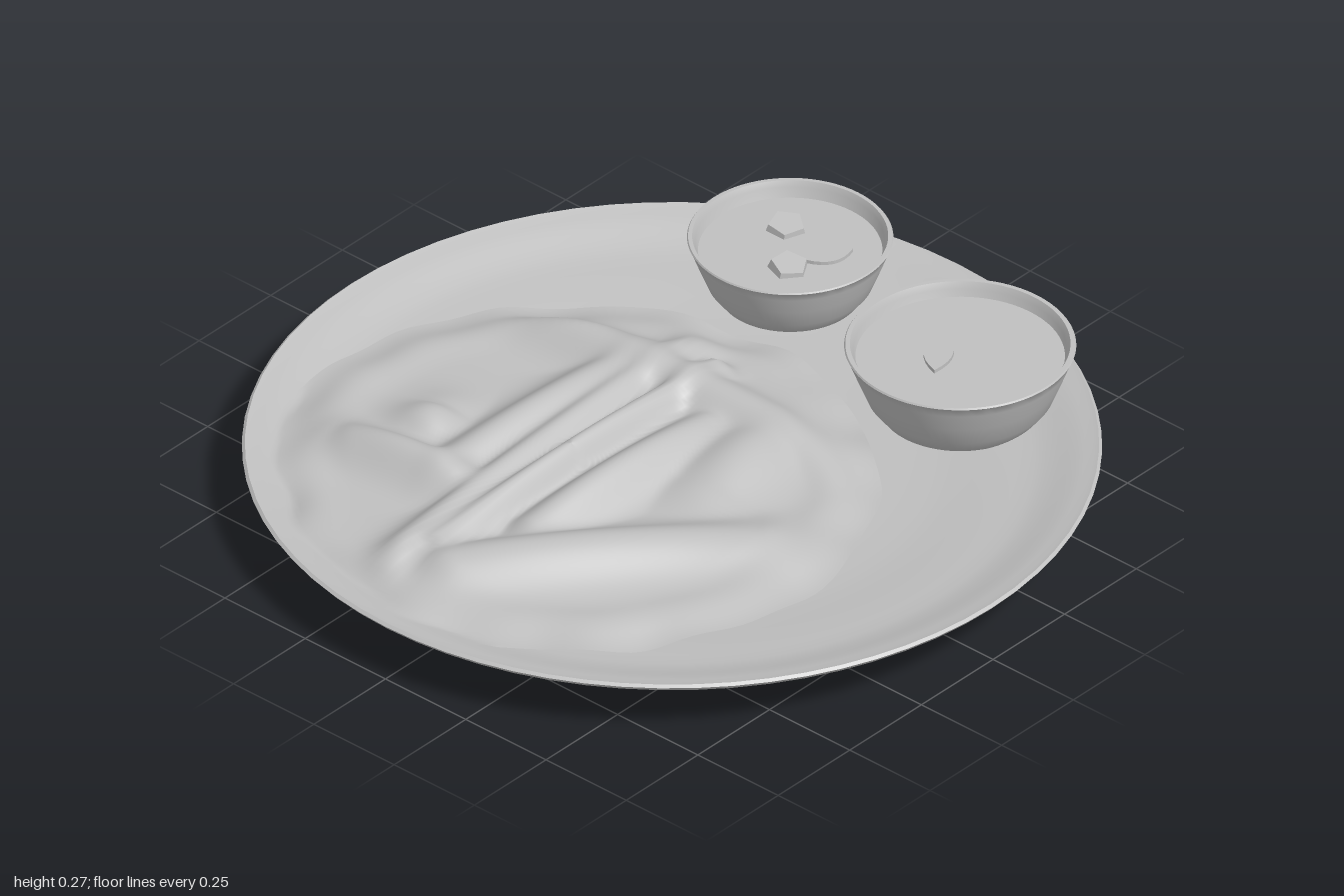
import * as THREE from 'three';
import { toCreasedNormals, mergeVertices } from 'three/addons/utils/BufferGeometryUtils.js';

const clay = new THREE.MeshStandardMaterial({ color: 0xbfbfbf, side: THREE.DoubleSide });
clay.name = 'warm grey clay';

function lathe(points, crease = 0.6) {
  const g = new THREE.LatheGeometry(points.map(([r, y]) => new THREE.Vector2(r, y)), 72);
  return toCreasedNormals(g, crease);
}

function add(parent, geometry, name) {
  const m = new THREE.Mesh(geometry, clay);
  m.name = name;
  parent.add(m);
  return m;
}

const smooth = THREE.MathUtils.smoothstep;

// Inside height of the plate at a distance from its middle
const plateFloor = (r) => 0.075 + 0.03 * smooth(r, 0.55, 0.85) + 0.045 * smooth(r, 0.82, 1.0);

// Folds of the bread: x1, z1, x2, z2, width, height at each end
const folds = [
  [-0.84, -0.15, 0.36, -0.22, 0.06, 0.205, 0.2],
  [-0.70, -0.10, 0.26, -0.10, 0.05, 0.215, 0.21],
  [-0.74, -0.02, -0.18, 0.44, 0.10, 0.215, 0.19],
  [0.15, -0.66, 0.20, 0.36, 0.085, 0.205, 0.19],
  [-0.51, -0.60, -0.48, -0.25, 0.08, 0.185, 0.225],
  [-0.48, -0.29, 0.20, -0.27, 0.08, 0.215, 0.2],
  [-0.50, 0.02, 0.08, 0.03, 0.07, 0.21, 0.2],
  [-0.10, 0.20, 0.20, 0.16, 0.11, 0.185, 0.185],
  [-0.38, -0.46, -0.26, -0.48, 0.09, 0.175, 0.175],
];

function foldHeight(x, z, base) {
  let sum = 0;
  for (const [x1, z1, x2, z2, w, h1, h2] of folds) {
    const dx = x2 - x1, dz = z2 - z1;
    const t = THREE.MathUtils.clamp(((x - x1) * dx + (z - z1) * dz) / (dx * dx + dz * dz), 0, 1);
    const d = Math.hypot(x - x1 - t * dx, z - z1 - t * dz);
    const top = h1 + (h2 - h1) * t + 0.1 * t * (1 - t); // crest arches between its ends
    sum += ((top - base) * Math.exp(-((d / w) ** 2))) ** 4;
  }
  return Math.min(base + sum ** 0.25, 0.245); // soft maximum of all folds
}

// Folded flatbread: a disc with a wavy brim and creased dome
function breadGeometry() {
  const g = new THREE.RingGeometry(0.001, 1, 144, 64).rotateX(-Math.PI / 2);
  g.deleteAttribute('uv');
  g.deleteAttribute('normal');
  const p = g.attributes.position;
  for (let i = 0; i < p.count; i++) {
    const t = Math.hypot(p.getX(i), p.getZ(i));
    const a = Math.atan2(p.getZ(i), p.getX(i));
    const wobble = 0.005 * Math.sin(9 * a) + 0.005 * Math.sin(14 * a + 1) + 0.006 * Math.sin(4 * a + 2);
    const r = t * (0.712 + wobble * t);
    const x = -0.245 + r * Math.cos(a), z = -0.095 + r * Math.sin(a) * 1.015;
    const floor = plateFloor(Math.hypot(x, z));
    const wave = (0.006 * Math.sin(11 * a) + 0.004 * Math.sin(19 * a + 1)) * smooth(t, 0.7, 1);
    const brim = Math.max(floor + 0.008, 0.165 - 0.03 * smooth(t, 0.8, 1) + wave);
    const dome = foldHeight(x, z, 0.15);
    const k = 1 - smooth(t, 0.72, 0.94);
    p.setXYZ(i, x, brim + (dome - brim) * k, z);
  }
  const merged = mergeVertices(g, 1e-5);
  merged.computeVertexNormals();
  return merged;
}

// Pointed leaf lying in the xz plane
function leafGeometry(length, width) {
  const s = new THREE.Shape();
  s.moveTo(-length / 2, 0);
  s.quadraticCurveTo(0, width, length / 2, 0);
  s.quadraticCurveTo(0, -width, -length / 2, 0);
  return new THREE.ExtrudeGeometry(s, { depth: 0.009, bevelEnabled: false, curveSegments: 8 }).rotateX(-Math.PI / 2);
}

// Dip bowl with a rounded taper, a rim and a filled surface
function bowl(name, x, z, radius, top, fill) {
  const b = new THREE.Group();
  b.name = name;
  b.position.set(x, 0, z);
  const R = radius, h = top - 0.07, y = (f) => 0.07 + h * f;
  add(b, lathe([
    [0, y(0)], [R * 0.52, y(0)], [R * 0.7, y(0.13)], [R * 0.81, y(0.33)], [R * 0.89, y(0.6)],
    [R * 0.96, y(0.85)], [R * 0.985, y(0.96)], [R, y(0.98)], [R * 0.99, top], [R * 0.95, top],
    [R * 0.92, y(0.92)], [R * 0.87, y(0.65)], [R * 0.7, y(0.3)], [0, y(0.2)],
  ]), 'bowlShell');
  const dip = add(b, new THREE.CircleGeometry(R * 0.91, 48).rotateX(-Math.PI / 2), 'dipSurface');
  dip.position.y = fill;
  return b;
}

export function createModel() {
  const model = new THREE.Group();
  model.name = 'flatbreadPlatter';

  // Plate
  const inner = [0.98, 0.96, 0.94, 0.92, 0.9, 0.87, 0.84, 0.8, 0.75, 0.7, 0.65, 0.6, 0.5, 0];
  add(model, lathe([
    [0, 0], [0.635, 0], [0.69, 0.037], [0.86, 0.075], [0.94, 0.11], [0.99, 0.135],
    [1, 0.147], [0.993, 0.153], ...inner.map((r) => [r, plateFloor(r)]),
  ], 0.9), 'plate');

  // Flatbread
  add(model, breadGeometry(), 'flatbread');

  // Bowls
  const large = bowl('largeBowl', 0.625, 0.34, 0.27, 0.27, 0.235);
  const small = bowl('smallBowl', 0.715, -0.27, 0.24, 0.25, 0.21);
  model.add(large, small);

  // Garnishes
  const largeLeaf = add(large, leafGeometry(0.16, 0.07), 'largeLeaf');
  largeLeaf.position.set(-0.03, 0.237, -0.04);
  largeLeaf.rotation.y = 0.6;
  const smallLeaf = add(small, leafGeometry(0.12, 0.06), 'smallLeaf');
  smallLeaf.position.set(0.035, 0.212, 0.09);
  smallLeaf.rotation.y = -0.45;
  [[0.06, -0.065, 0.3], [-0.06, 0.05, 1.2]].forEach(([x, z, turn], i) => {
    const g = new THREE.CylinderGeometry(0.044, 0.052, 0.03, 5).toNonIndexed();
    g.computeVertexNormals();
    const chunk = add(small, g, 'vegetableChunk' + (i + 1));
    chunk.position.set(x, 0.213, z);
    chunk.rotation.set(0.1, turn, 0.08);
  });

  return model;
}
